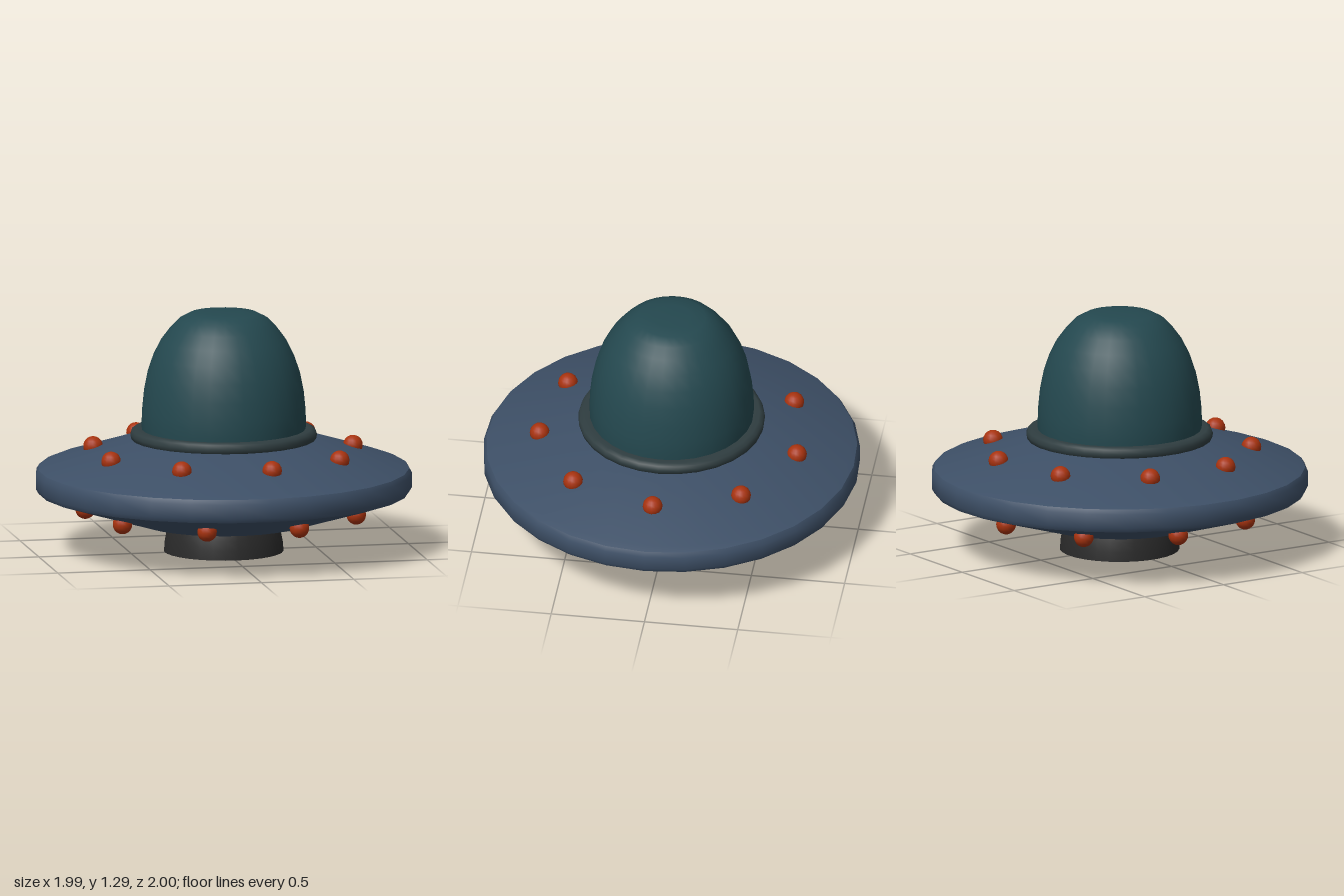
import * as THREE from 'three';
import { toCreasedNormals } from 'three/addons/utils/BufferGeometryUtils.js';

const SIDES = 29;

function paint(color, side = THREE.FrontSide) {
  return new THREE.MeshStandardMaterial({ color, side });
}

// Revolves [radius, height] points, listed so that outer faces run upwards
function turned(name, points, material, crease) {
  const profile = points.map(([r, y]) => new THREE.Vector2(r, y));
  let geometry = new THREE.LatheGeometry(profile, SIDES, Math.PI / 2);
  if (crease) geometry = toCreasedNormals(geometry, crease);
  const mesh = new THREE.Mesh(geometry, material);
  mesh.name = name;
  return mesh;
}

// Ring of small round lamps
function lampRing(name, radius, y, startDegrees, material) {
  const ring = new THREE.Group();
  ring.name = name;
  const bulb = new THREE.SphereGeometry(0.053, 14, 10);
  for (let i = 0; i < 9; i++) {
    const a = THREE.MathUtils.degToRad(startDegrees + i * 40);
    const lamp = new THREE.Mesh(bulb, material);
    lamp.name = 'lamp';
    lamp.position.set(radius * Math.cos(a), y, radius * Math.sin(a));
    ring.add(lamp);
  }
  return ring;
}

export function createModel() {
  const ship = new THREE.Group();
  ship.name = 'flyingSaucer';
  const hullPaint = paint(0x3d4f66);
  const dark = paint(0x2a2a2a, THREE.DoubleSide);
  const lampPaint = paint(0xa8330f);

  // Saucer disc with a rounded rim
  ship.add(turned('hull', [
    [0.45, 0.155], [0.95, 0.308], [0.985, 0.32], [1, 0.345],
    [1, 0.42], [0.985, 0.445], [0.95, 0.46], [0.48, 0.607], [0.4, 0.615],
  ], hullPaint, 0.6));

  // Hollow around the thruster
  ship.add(turned('thrusterWell', [
    [0, 0.33], [0.37, 0.33], [0.37, 0.2], [0.385, 0.175], [0.45, 0.155],
  ], dark, 0.6));

  // Open bell-shaped thruster
  ship.add(turned('thruster', [
    [0.318, 0], [0.314, 0.05], [0.304, 0.1], [0.289, 0.155],
    [0.265, 0.21], [0.235, 0.25], [0.2, 0.27],
  ], dark));

  // Collar where the dome meets the hull
  ship.add(turned('collar', [
    [0.43, 0.585], [0.47, 0.588], [0.491, 0.605], [0.496, 0.628],
    [0.488, 0.65], [0.468, 0.66], [0.43, 0.657],
  ], paint(0x2f3d40)));

  // Tall flattened dome
  ship.add(turned('dome', [
    [0.43, 0.6], [0.437, 0.68], [0.435, 0.76], [0.425, 0.86], [0.405, 0.96],
    [0.375, 1.05], [0.335, 1.13], [0.285, 1.197], [0.237, 1.247],
    [0.18, 1.277], [0.1, 1.285], [0, 1.286],
  ], paint(0x24484f)));

  ship.add(lampRing('upperLamps', 0.7, 0.543, 0, lampPaint));
  ship.add(lampRing('lowerLamps', 0.735, 0.23, 28.4, lampPaint));
  return ship;
}
